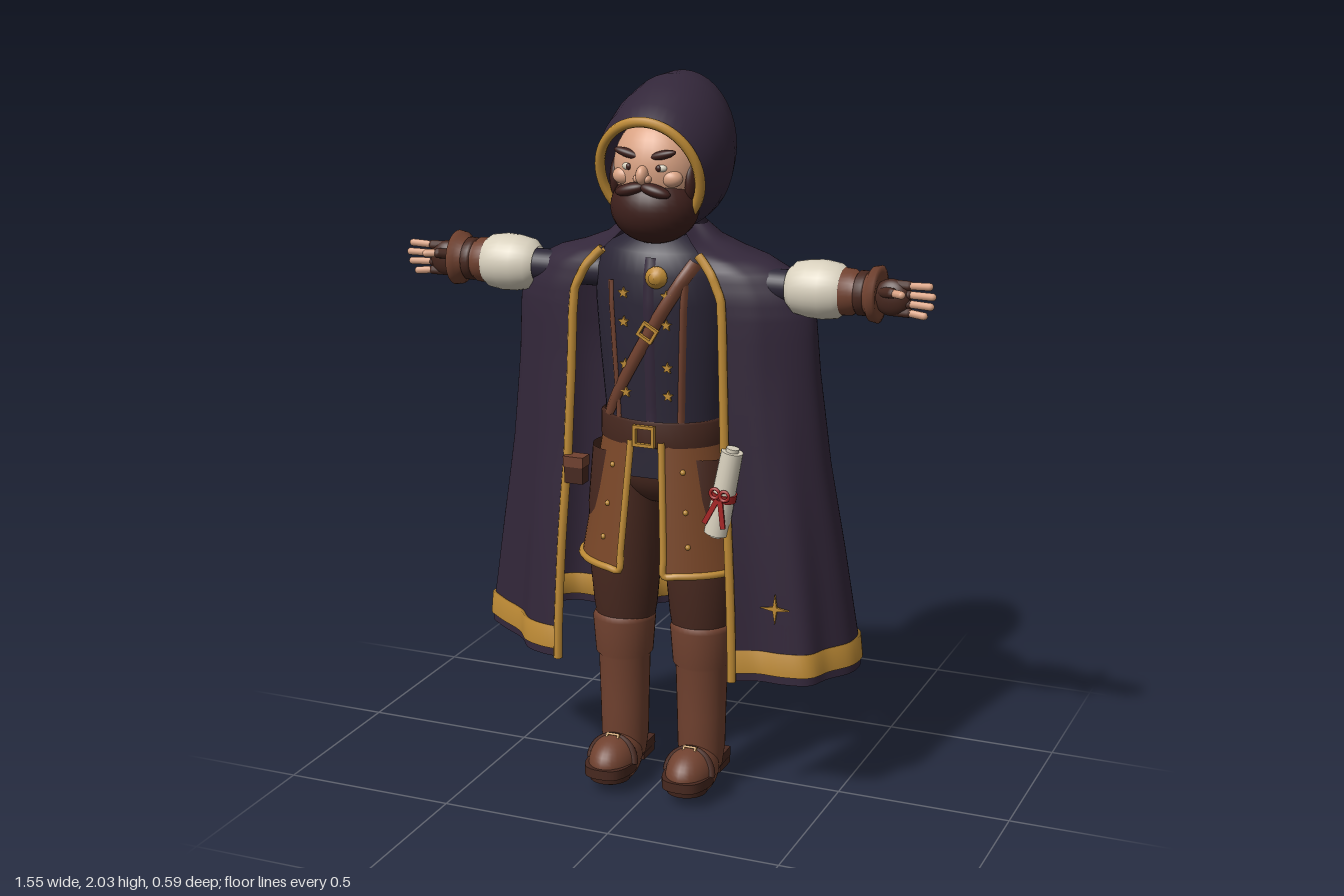
import * as THREE from 'three';

const mat = (name, color) => Object.assign(new THREE.MeshStandardMaterial({ color, side: THREE.DoubleSide }), { name });
const M = {
  cloak: mat('cloakPurple', 0x33273a), vest: mat('vestNavy', 0x2b2636), gold: mat('gold', 0xbd8a35),
  tan: mat('tanLeather', 0x7a4728), boot: mat('bootLeather', 0x70412f), dark: mat('darkLeather', 0x47281f),
  hair: mat('hairBrown', 0x3e201c), skin: mat('skin', 0xd9a283), cream: mat('cream', 0xd8d0bd), red: mat('ribbonRed', 0xa82626),
};
const V = (x, y, z) => new THREE.Vector3(x, y, z);

export function createModel() {
  const root = new THREE.Group();
  root.name = 'hoodedTraveller';
  const add = (name, geo, m, x = 0, y = 0, z = 0, parent = root) => {
    const o = new THREE.Mesh(geo, m);
    o.name = name; o.position.set(x, y, z); parent.add(o);
    return o;
  };
  const ball = (name, m, x, y, z, rx, ry, rz) => {
    const o = add(name, new THREE.SphereGeometry(1, 28, 20), m, x, y, z);
    o.scale.set(rx, ry, rz);
    return o;
  };
  const lathe = (pts, n = 32) => new THREE.LatheGeometry(pts.map(p => new THREE.Vector2(p[0], p[1])), n);
  const tube = (pts, r, closed = false, n = 60) => new THREE.TubeGeometry(new THREE.CatmullRomCurve3(pts, closed), n, r, 8, closed);
  // surface from a rule f(i, j)
  const grid = (nu, nv, f, wrap = false) => {
    const pos = [], idx = [], c = wrap ? nu : nu + 1;
    for (let j = 0; j <= nv; j++) for (let i = 0; i < c; i++) pos.push(...f(i, j));
    for (let j = 0; j < nv; j++) for (let i = 0; i < nu; i++) {
      const a = j * c + i, b = j * c + (i + 1) % c;
      idx.push(a, b, a + c, b, b + c, a + c);
    }
    const g = new THREE.BufferGeometry();
    g.setAttribute('position', new THREE.Float32BufferAttribute(pos, 3));
    g.setIndex(idx); g.computeVertexNormals();
    return g;
  };
  const table = (rows, y) => { // rows sorted by falling y
    let k = 0;
    while (k < rows.length - 2 && y < rows[k + 1][0]) k++;
    const a = rows[k], b = rows[k + 1], t = THREE.MathUtils.clamp((a[0] - y) / (a[0] - b[0]), 0, 1);
    return a.map((v, i) => v + (b[i] - v) * t);
  };

  // Cloak: a smooth shoulder outline blends into a folded hem
  const N = 170;
  const spaced = pts => new THREE.CatmullRomCurve3(pts.map(p => V(p[0], 0, p[1]))).getSpacedPoints(N);
  const hem = spaced([[.26, .23], [.33, .205], [.4, .205], [.47, .185], [.5, .12], [.545, .05], [.55, -.02], [.53, -.06], [.47, -.07],
    [.41, -.1], [.4, -.18], [.375, -.225], [.32, -.225], [.27, -.205], [.2, -.215], [.1, -.235], [.03, -.25], [-.03, -.275], [-.1, -.293],
    [-.16, -.265], [-.21, -.19], [-.26, -.175], [-.33, -.19], [-.41, -.19], [-.47, -.13], [-.48, -.05], [-.52, 0], [-.57, .04],
    [-.52, .09], [-.42, .16], [-.37, .22], [-.31, .245], [-.26, .25]]);
  // y, half width, back z, front z, opening half width, hem blend
  const rows = [[1.61, .12, -.02, .15, .075, 0], [1.57, .165, -.045, .17, .11, 0], [1.54, .24, -.06, .185, .14, 0], [1.52, .31, -.065, .19, .16, 0],
    [1.49, .37, -.072, .2, .185, 0], [1.43, .415, -.085, .207, .213, 0], [1.37, .433, -.1, .21, .218, 0], [1.2, .437, -.135, .212, .222, .04],
    [.95, .437, -.14, .215, .222, .28], [.7, .437, -.14, .22, .23, .62], [.45, .437, -.14, .22, .24, .93], [.36, .437, -.14, .22, .24, 1]];
  const cache = {};
  const cloakRow = y => cache[y] ??= (() => {
    const [, w, zb, zf, e, f] = table(rows, y);
    const half = [[e, zf], [Math.max(.75 * w, e + .01), zf - .03], [w, .09], [.82 * w, zb + .05], [.4 * w, zb]];
    return spaced([...half, ...half.map(p => [-p[0], p[1]]).reverse()]).map((p, i) => p.lerp(hem[i], f).setY(y));
  })();
  const ys = [];
  rows.slice(0, -1).forEach((r, k) => { for (let s = 0; s < 3; s++) ys.push(r[0] + (rows[k + 1][0] - r[0]) * s / 3); });
  ys.push(.36);
  add('cloak', grid(N, ys.length - 1, (i, j) => cloakRow(ys[j])[i].toArray()), M.cloak);
  // raised gold band along the hem
  const band = [[.385, 1], [.45, 1], [.45, -1], [.385, -1], [.385, 1]];
  add('hemBand', grid(N, 4, (i, j) => {
    const [y, s] = band[j], r = cloakRow(y), p = r[i], t = r[Math.min(i + 1, N)].clone().sub(r[Math.max(i - 1, 0)]).normalize();
    return [p.x - t.z * .008 * s, y, p.z + t.x * .008 * s];
  }), M.gold);
  for (const i of [0, N])
    add('cloakEdgeTrim', tube(ys.filter(y => y < 1.55).map(y => cloakRow(y)[i].clone().add(V(0, 0, .006))), .013), M.gold);
  const mark = cloakRow(.58).slice(0, 40).reduce((a, b) => Math.abs(b.x - .38) < Math.abs(a.x - .38) ? b : a);

  // Flat star ornament
  const star = (n, ro, ri, d = .008) => {
    const s = new THREE.Shape();
    for (let k = 0; k < n * 2; k++) {
      const a = Math.PI / 2 + k * Math.PI / n, r = k % 2 ? ri : ro;
      s[k ? 'lineTo' : 'moveTo'](Math.cos(a) * r, Math.sin(a) * r);
    }
    s.closePath();
    return new THREE.ExtrudeGeometry(s, { depth: d, bevelEnabled: false });
  };
  add('cloakStar', star(4, .042, .008), M.gold, mark.x, .58, mark.z + .004);

  // Hood: tilted oval rings (top z, top y, bottom z, bottom y, half width)
  const rings = [[.24, 1.895, .14, 1.6, .143], [.19, 1.937, .1, 1.585, .166], [.1, 1.975, .05, 1.578, .176], [.02, 1.997, 0, 1.58, .172],
    [-.05, 1.998, -.04, 1.6, .157], [-.085, 1.985, -.075, 1.64, .13], [-.094, 1.945, -.1, 1.69, .095], [-.088, 1.885, -.113, 1.74, .055],
    [-.112, 1.805, -.112, 1.8, .002]];
  const ringPoint = (k, a) => {
    const [tz, ty, bz, by, w] = rings[k], t = (1 + Math.cos(a)) / 2;
    return V(Math.sin(a) * w, by + (ty - by) * t, bz + (tz - bz) * t);
  };
  add('hood', grid(40, 8, (i, j) => ringPoint(j, i / 40 * Math.PI * 2).toArray(), true), M.cloak);
  add('hoodTrim', tube(Array.from({ length: 24 }, (_, i) => ringPoint(0, i / 24 * Math.PI * 2)), .014, true, 80), M.gold);

  // Head, beard and face
  ball('head', M.skin, 0, 1.765, .13, .122, .135, .11);
  ball('beard', M.hair, 0, 1.658, .155, .122, .1, .108);
  ball('nose', M.skin, 0, 1.755, .24, .017, .026, .024);
  for (const s of [-1, 1]) {
    ball('sideburn', M.hair, s * .108, 1.73, .14, .022, .065, .05);
    ball('moustache', M.hair, s * .035, 1.715, .238, .045, .017, .022).rotation.z = -s * .25;
    ball('eyebrow', M.hair, s * .048, 1.808, .222, .042, .012, .015).rotation.z = s * .25;
    ball('eyeWhite', M.cream, s * .045, 1.774, .225, .019, .011, .01);
    ball('iris', M.hair, s * .043, 1.774, .231, .008, .009, .007);
    ball('nostril', M.skin, s * .014, 1.745, .24, .012, .011, .014);
    ball('cheek', M.skin, s * .068, 1.745, .205, .032, .024, .024);
  }

  // Torso and jacket front
  const body = [[1.58, .09], [1.54, .165], [1.48, .19], [1.4, .195], [1.25, .184], [1.1, .17], [.98, .17]];
  const front = (x, y) => .09 + .72 * Math.sqrt(Math.max(table(body, y)[1] ** 2 - x * x, 0));
  add('jacket', lathe(body.map(p => [p[1], p[0]]).reverse(), 40), M.vest, 0, 0, .09).scale.z = .72;
  const ribbon = (name, m, x0, y0, x1, y1, w, lift = .008) => {
    const l = Math.hypot(x1 - x0, y1 - y0), nx = (y1 - y0) / l * w / 2, ny = -(x1 - x0) / l * w / 2;
    add(name, grid(4, 30, (i, j) => {
      const t = j / 30, k = i / 2 - 1, x = x0 + (x1 - x0) * t + nx * k, y = y0 + (y1 - y0) * t + ny * k;
      return [x, y, front(x, y) + (i % 4 ? lift : lift * .3)];
    }), m);
  };
  ribbon('placket', M.cloak, .012, 1.06, .012, 1.53, .03, .006);
  for (const s of [-1, 1]) {
    ribbon('jacketBraid', M.boot, s * .092, 1.07, s * .108, 1.46, .018, .009);
    for (const y of [1.43, 1.35, 1.23, 1.15]) add('button', star(5, .016, .007), M.gold, s * .062, y, front(.062, y) + .002);
  }
  ribbon('shoulderStrap', M.boot, -.155, 1.04, .13, 1.52, .036, .014);
  const frame = (w, h, t) => {
    const s = new THREE.Shape([[-w, -h], [w, -h], [w, h], [-w, h]].map(p => new THREE.Vector2(...p)));
    s.holes.push(new THREE.Path([[t - w, t - h], [t - w, h - t], [w - t, h - t], [w - t, t - h]].map(p => new THREE.Vector2(...p))));
    return new THREE.ExtrudeGeometry(s, { depth: .012, bevelEnabled: false });
  };
  add('strapBuckle', frame(.025, .022, .008), M.gold, .015, 1.33, front(0, 1.33) + .012).rotation.z = -.54;
  const disc = add('medallion', lathe([[.03, 0], [.03, .012], [.018, .016], [.016, .024], [0, .026]], 16), M.gold, .035, 1.48, front(.035, 1.48));
  disc.rotation.x = Math.PI / 2;

  // Belt, pouch and hips
  add('belt', lathe([[.172, 1], [.182, 1.004], [.182, 1.07], [.172, 1.075]], 40), M.dark, 0, 0, .09).scale.z = .76;
  add('beltBuckle', frame(.032, .03, .009), M.gold, 0, 1.037, .232);
  ball('hips', M.dark, 0, .93, .09, .165, .12, .115);
  add('frontFlap', new THREE.BoxGeometry(.1, .1, .02), M.vest, 0, .96, .2);
  add('pouch', new THREE.BoxGeometry(.055, .075, .04), M.dark, -.205, .92, .235);
  add('pouchFlap', new THREE.BoxGeometry(.06, .03, .046), M.boot, -.205, .945, .235);

  for (const s of [-1, 1]) {
    // Coat skirt panel with gold edge
    const panel = (u, v) => {
      const rx = .176 + .066 * v, rz = .137 + .04 * v, a0 = Math.asin((.045 + .022 * v) / rx), a = a0 + u * (2.9 - a0);
      return V(s * rx * Math.sin(a), 1.02 - .37 * v, .09 + rz * Math.cos(a));
    };
    add('skirtPanel', grid(24, 8, (i, j) => panel(i / 24, j / 8).toArray()), M.tan);
    const edge = [];
    for (let k = 0; k <= 8; k++) edge.push(panel(0, k / 8));
    for (let k = 1; k <= 16; k++) edge.push(panel(k / 16, 1));
    add('skirtTrim', tube(edge, .0105, false, 90), M.gold);
    for (const v of [.22, .52, .78]) {
      const p = panel(.12, v);
      add('skirtStud', new THREE.SphereGeometry(.008, 8, 6), M.gold, p.x, p.y, p.z);
    }

    // Trousers and boots
    const X = s * .119;
    add('trouserLeg', lathe([[.08, .44], [.09, .5], [.101, .62], [.104, .8], [.09, .97]]), M.dark, s * .116, 0, .1);
    add('bootShaft', lathe([[.06, .04], [.068, .1], [.07, .2], [.074, .345], [.082, .355], [.09, .46], [.083, .475], [.07, .475]]), M.boot, X, 0, .105);
    ball('shoe', M.boot, X, .045, .175, .07, .075, .11);
    const sole = new THREE.Shape();
    sole.moveTo(-.045, .01);
    sole.splineThru([[-.05, -.1], [-.07, -.2], [-.05, -.275], [0, -.293], [.05, -.275], [.07, -.2], [.05, -.1], [.045, .01]].map(p => new THREE.Vector2(...p)));
    sole.closePath();
    const so = add('sole', new THREE.ExtrudeGeometry(sole, { depth: .028, bevelEnabled: false }), M.dark, X, .022, 0);
    so.rotation.x = -Math.PI / 2;
    add('heel', new THREE.BoxGeometry(.088, .024, .08), M.dark, X, .012, .032);
    add('toeTread', new THREE.CylinderGeometry(.064, .058, .024, 24), M.dark, X, .012, .215);
    const strap = add('shoeStrap', new THREE.TorusGeometry(.068, .012, 8, 24, Math.PI), M.dark, X, .045, .2);
    strap.rotation.x = -.25;
    add('shoeBuckle', frame(.02, .014, .006), M.gold, X, .108, .192).rotation.x = -.6;

    // Sleeve, cuff, bracer
    const alongX = (name, pts, m) => {
      add(name, lathe(pts), m, 0, 1.46, .11).rotation.z = -s * Math.PI / 2;
    };
    alongX('sleeve', [[.045, .1], [.045, .42]], M.vest);
    alongX('shirtCuff', [[.05, .37], [.07, .39], [.078, .43], [.08, .47], [.074, .51], [.055, .535]], M.cream);
    alongX('bracer', [[.05, .51], [.064, .52], [.062, .55], [.054, .56], [.056, .59], [.073, .602], [.077, .622], [.06, .625], [.03, .62]], M.boot);
    alongX('bracerBand', [[.054, .562], [.06, .567], [.06, .585], [.054, .59]], M.dark);
    // Hand: half-fingered glove and bare finger tips
    const rod = (name, m, a, b, r) => {
      const d = b.clone().sub(a), o = add(name, new THREE.CapsuleGeometry(r, d.length(), 4, 10), m);
      o.position.copy(a).addScaledVector(d, .5);
      o.quaternion.setFromUnitVectors(V(0, 1, 0), d.normalize());
    };
    ball('glove', M.dark, s * .655, 1.455, .11, .052, .05, .03);
    for (let k = 0; k < 4; k++) {
      const y = 1.418 + k * .024, tip = [.745, .762, .767, .758][k], y2 = 1.455 + (y - 1.455) * 1.1;
      rod('gloveFinger', M.dark, V(s * .66, y, .11), V(s * .7, y, .112), .0135);
      rod('finger', M.skin, V(s * .7, y, .112), V(s * tip, y2, .12), .0105);
    }
    rod('gloveThumb', M.dark, V(s * .635, 1.47, .125), V(s * .665, 1.475, .148), .0145);
    rod('thumb', M.skin, V(s * .665, 1.475, .148), V(s * .695, 1.475, .162), .011);
  }

  // Rolled scroll with ribbon
  const scroll = new THREE.Group();
  scroll.name = 'scroll';
  scroll.position.set(.235, .905, .235); scroll.rotation.z = -.19;
  root.add(scroll);
  add('paper', new THREE.CylinderGeometry(.03, .034, .24, 20), M.cream, 0, 0, 0, scroll);
  add('paperCore', new THREE.CylinderGeometry(.018, .018, .26, 16), M.cream, 0, 0, 0, scroll);
  add('ribbonBand', new THREE.CylinderGeometry(.036, .036, .022, 20), M.red, 0, -.01, 0, scroll);
  for (const s of [-1, 1]) {
    add('ribbonTail', new THREE.BoxGeometry(.014, .08, .006), M.red, s * .016, -.05, .036, scroll).rotation.z = s * .3;
    add('ribbonLoop', new THREE.TorusGeometry(.013, .005, 6, 14), M.red, s * .014, .004, .038, scroll);
  }
  return root;
}
